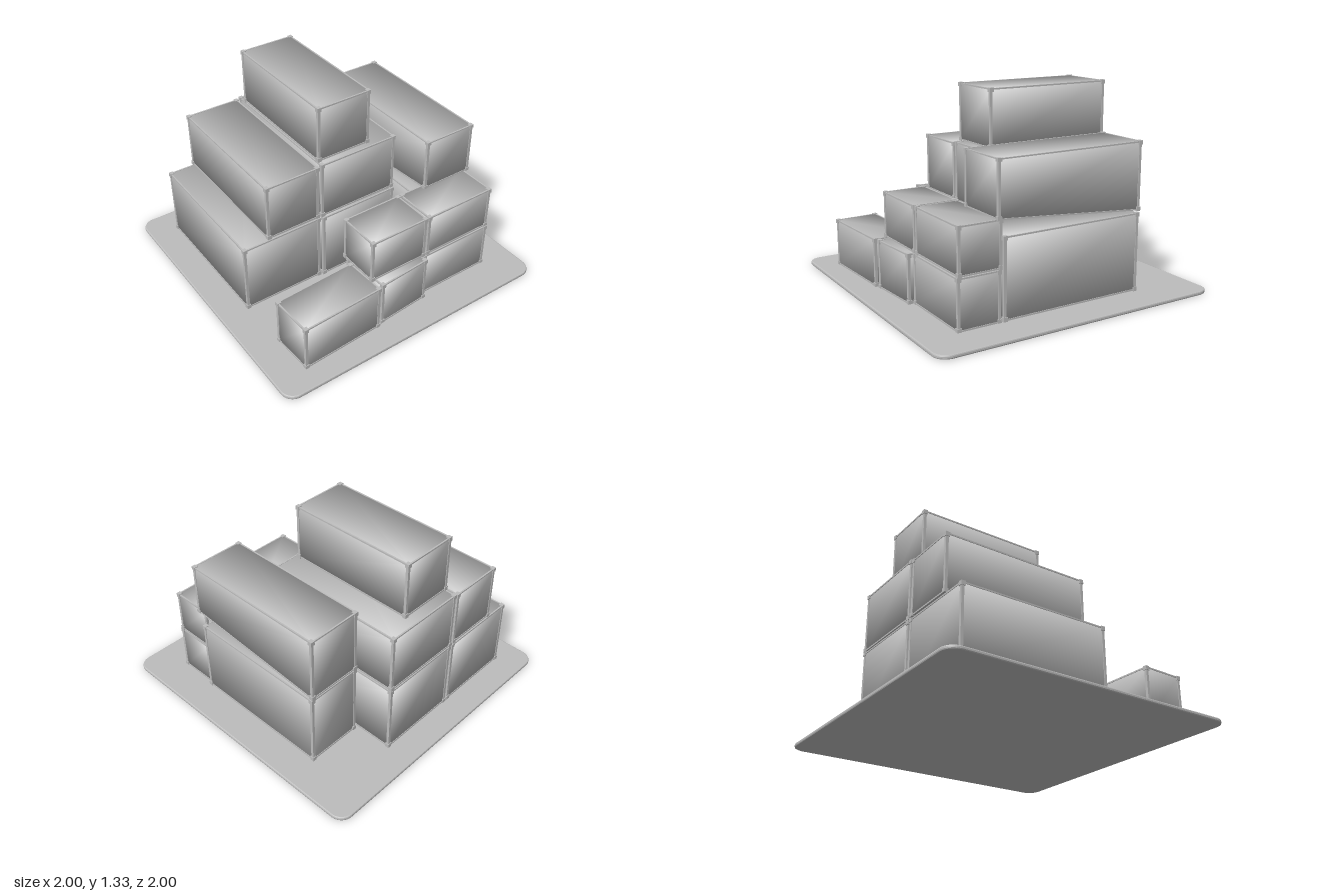
import * as THREE from 'three';
import { mergeVertices, mergeGeometries } from 'three/addons/utils/BufferGeometryUtils.js';

const grey = new THREE.MeshStandardMaterial({ color: 0xbcbcbc });
grey.name = 'grey';

// Box given by its size and centre
function block(w, h, d, x, y, z) {
  return new THREE.BoxGeometry(w, h, d).translate(x, y, z);
}

// Box with normals shared at the corners, for soft shading
function softBlock(w, h, d) {
  const g = new THREE.BoxGeometry(w, h, d);
  g.deleteAttribute('normal');
  g.deleteAttribute('uv');
  return mergeVertices(g);
}

// Cargo container: soft panels, thin frame rails, posts and corner castings.
// lift raises the front end of the underside; turn rotates about y.
function container(name, [x0, x1], [y0, y1], [z0, z1], turn = 0, lift = 0) {
  const w = x1 - x0, h = y1 - y0, d = z1 - z0;
  const inset = 0.008, post = 0.018, rail = 0.01, cast = 0.028;
  const frame = [], castings = [];
  for (const a of [-1, 1]) {
    for (const b of [-1, 1]) {
      frame.push(
        block(post, h, post, a * (w - post) / 2, 0, b * (d - post) / 2),
        block(w, rail, rail, 0, a * (h - rail) / 2, b * (d - rail) / 2),
        block(rail, rail, d, a * (w - rail) / 2, b * (h - rail) / 2, 0));
      for (const c of [-1, 1]) {
        castings.push(block(cast, cast, cast,
          a * (w - cast + 0.008) / 2, c * (h - cast + 0.008) / 2, b * (d - cast + 0.008) / 2));
      }
    }
  }
  const parts = {
    panels: softBlock(w - inset, h - inset / 2, d - inset),
    frame: mergeGeometries(frame),
    cornerCastings: mergeGeometries(castings),
  };
  const group = new THREE.Group();
  group.name = name;
  for (const [part, g] of Object.entries(parts)) {
    if (lift) {
      const p = g.attributes.position;
      for (let i = 0; i < p.count; i++) {
        const y = p.getY(i);
        p.setY(i, y + lift * (0.5 - y / h) * (0.5 + p.getZ(i) / d));
      }
    }
    if (lift || part === 'panels') g.computeVertexNormals();
    const mesh = new THREE.Mesh(g, grey);
    mesh.name = part;
    group.add(mesh);
  }
  group.position.set((x0 + x1) / 2, (y0 + y1) / 2, (z0 + z1) / 2);
  group.rotation.y = turn;
  return group;
}

// Thin ground slab with rounded corners and bevelled rim
function baseSlab() {
  const bevel = 0.008, s = 1 - bevel, r = 0.08;
  const shape = new THREE.Shape();
  shape.moveTo(-s + r, -s);
  shape.absarc(s - r, -s + r, r, -Math.PI / 2, 0);
  shape.absarc(s - r, s - r, r, 0, Math.PI / 2);
  shape.absarc(-s + r, s - r, r, Math.PI / 2, Math.PI);
  shape.absarc(-s + r, -s + r, r, Math.PI, Math.PI * 1.5);
  const g = new THREE.ExtrudeGeometry(shape, {
    depth: 0.01, bevelEnabled: true, bevelSize: bevel, bevelThickness: bevel,
    bevelSegments: 2, curveSegments: 6,
  });
  g.rotateX(-Math.PI / 2).translate(0, bevel, 0);
  const mesh = new THREE.Mesh(g, grey);
  mesh.name = 'baseSlab';
  return mesh;
}

export function createModel() {
  const model = new THREE.Group();
  model.name = 'containerStack';
  model.add(
    baseSlab(),
    // Small front row, ground level
    container('frontLowRight', [-0.785, -0.205], [0.026, 0.35], [0.54, 0.84], 0.045),
    container('frontLowMiddle', [-0.185, 0.195], [0.026, 0.35], [0.45, 0.8], 0.07),
    container('frontLowLeft', [0.21, 0.76], [0.026, 0.35], [0.46, 0.75]),
    // Small front row, second level
    container('frontHighMiddle', [-0.21, 0.22], [0.355, 0.655], [0.45, 0.745]),
    container('frontHighLeft', [0.235, 0.76], [0.355, 0.655], [0.45, 0.745]),
    // Long stack on the left
    container('sideLow', [0.4, 0.785], [0.04, 0.555], [-0.55, 0.455]),
    container('sideHigh', [0.405, 0.785], [0.57, 1.015], [-0.555, 0.495], 0, 0.09),
    // Large rear containers
    container('rearLowRight', [-0.805, -0.23], [0.03, 0.515], [-0.81, 0.21]),
    container('rearLowLeft', [-0.21, 0.37], [0.03, 0.515], [-0.81, 0.22]),
    container('rearHighRight', [-0.625, -0.235], [0.53, 0.92], [-0.81, 0.21]),
    container('rearHighLeft', [-0.215, 0.37], [0.525, 0.93], [-0.81, 0.21]),
    container('rearTop', [-0.215, 0.18], [0.94, 1.325], [-0.735, 0.175]),
  );
  return model;
}
